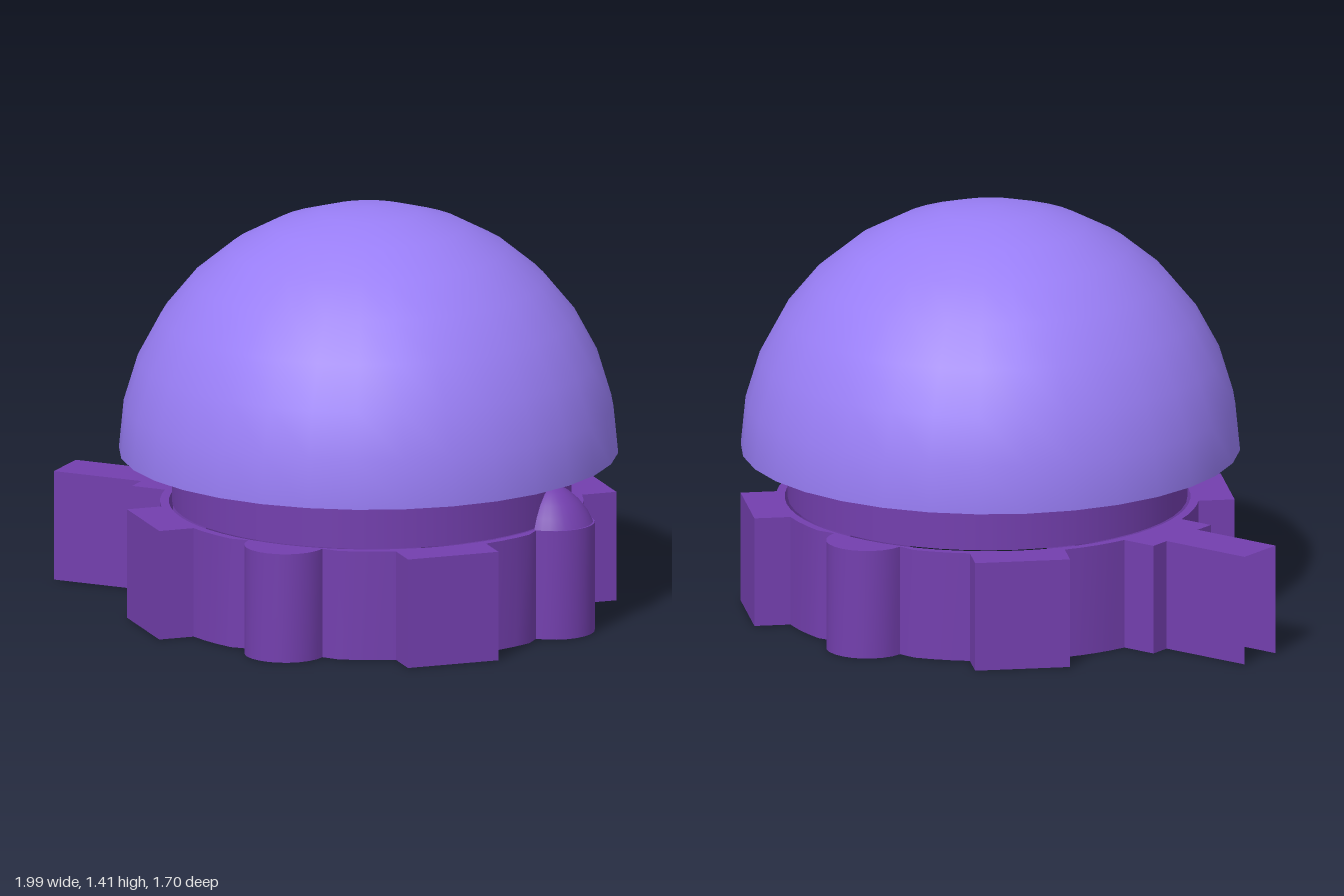
import * as THREE from 'three';
import { toCreasedNormals } from 'three/addons/utils/BufferGeometryUtils.js';

const DOME_X = 0.143, BASE_X = 0.155;   // axes of the dome and of the base
const BASE_H = 0.38, RIM_Y = 0.557;
const NECK_R = 0.68, BASE_R = 0.72, REACH = 0.825, DOME_R = 0.85;
const LUG_W = 0.163, BOSS_R = 0.14, ARM_W = 0.088, ARM_END = 1 + BASE_X;
const ARM = 4;                          // index of the feature carrying the arm

const paint = (color) => new THREE.MeshStandardMaterial({ color, side: THREE.DoubleSide });
const isBoss = (i) => i % 2 === 0 && i !== ARM;
const halfWidth = (i) => (isBoss(i) ? BOSS_R : LUG_W);

// Plan outline of the base: eight features around a circle, joined by arcs.
// It starts and ends at the two corners of the arm's open tip.
function baseOutline() {
  const pts = [];
  for (let n = 0; n <= 8; n++) {
    const i = (ARM + n) % 8, a = i * Math.PI / 4, half = halfWidth(i);
    const put = (out, side) => pts.push(new THREE.Vector2(
      out * Math.cos(a) - side * Math.sin(a), out * Math.sin(a) + side * Math.cos(a)));
    const foot = Math.sqrt(BASE_R ** 2 - half ** 2);
    if (isBoss(i)) {
      // rounded boss
      for (let k = 0; k <= 12; k++) {
        const t = -Math.PI / 2 + k * Math.PI / 12;
        put(REACH - BOSS_R + BOSS_R * Math.cos(t), BOSS_R * Math.sin(t));
      }
    } else {
      // square lug, split in two halves where the arm leaves it
      if (n > 0) {
        put(foot, -half);
        put(REACH, -half);
      }
      if (i === ARM) {
        const side = n === 0 ? 1 : -1;
        const outs = n === 0 ? [ARM_END, REACH] : [REACH, ARM_END];
        outs.forEach((out) => put(out, side * ARM_W));
      }
      if (n < 8) {
        put(REACH, half);
        put(foot, half);
      }
    }
    if (n === 8) break;
    // arc to the next feature
    const from = Math.asin(half / BASE_R);
    const to = Math.PI / 4 - Math.asin(halfWidth((i + 1) % 8) / BASE_R);
    for (let k = 1; k < 4; k++) {
      const t = from + (to - from) * k / 4;
      put(BASE_R * Math.cos(t), BASE_R * Math.sin(t));
    }
  }
  return pts;
}

// Thin upright wall following an outline
function wallGeometry(pts, h) {
  const pos = [];
  for (let i = 0; i < pts.length - 1; i++) {
    const p = pts[i], q = pts[i + 1];
    const a = [p.x, 0, -p.y], b = [q.x, 0, -q.y], c = [q.x, h, -q.y], d = [p.x, h, -p.y];
    pos.push(...a, ...b, ...c, ...a, ...c, ...d);
  }
  const g = new THREE.BufferGeometry();
  g.setAttribute('position', new THREE.Float32BufferAttribute(pos, 3));
  return toCreasedNormals(g, 0.5);
}

export function createModel() {
  const model = new THREE.Group();
  model.name = 'domedCap';
  const basePaint = paint(0x733fae), domePaint = paint(0x997ef6);
  const add = (name, geometry, material, x, y) => {
    const m = new THREE.Mesh(geometry, material);
    m.name = name;
    m.position.set(x, y, 0);
    model.add(m);
  };

  // Hollow base, open underneath and at the arm's tip
  const outline = baseOutline();
  add('baseWall', wallGeometry(outline, BASE_H), basePaint, BASE_X, 0);
  const plate = new THREE.Shape(outline);
  plate.holes.push(new THREE.Path().absarc(0, 0, NECK_R + 0.01, 0, Math.PI * 2, true));
  add('baseTop', new THREE.ShapeGeometry(plate, 32).rotateX(-Math.PI / 2), basePaint, BASE_X, BASE_H);

  // Neck between base and dome
  const neckH = RIM_Y - BASE_H;
  add('neck', new THREE.CylinderGeometry(NECK_R, NECK_R, neckH, 48, 1, true),
    basePaint, BASE_X, BASE_H + neckH / 2);

  // Bluntly pointed bump on the left boss, against the neck
  const bumpProfile = [[0.14, 0], [0.122, 0.037], [0.093, 0.075], [0.06, 0.105], [0.03, 0.124], [0, 0.13]]
    .map(([r, y]) => new THREE.Vector2(r, y));
  add('bump', new THREE.LatheGeometry(bumpProfile, 16, 0, Math.PI), basePaint, BASE_X + REACH - BOSS_R - 0.007, BASE_H);

  // Dome with a flat underside rim that leaves a fine gap around the neck
  add('dome', new THREE.SphereGeometry(DOME_R, 32, 8, 0, Math.PI * 2, 0, Math.PI / 2), domePaint, DOME_X, RIM_Y);
  add('domeRim', new THREE.RingGeometry(NECK_R + 0.015, DOME_R, 32).rotateX(Math.PI / 2), domePaint, DOME_X, RIM_Y);
  return model;
}
